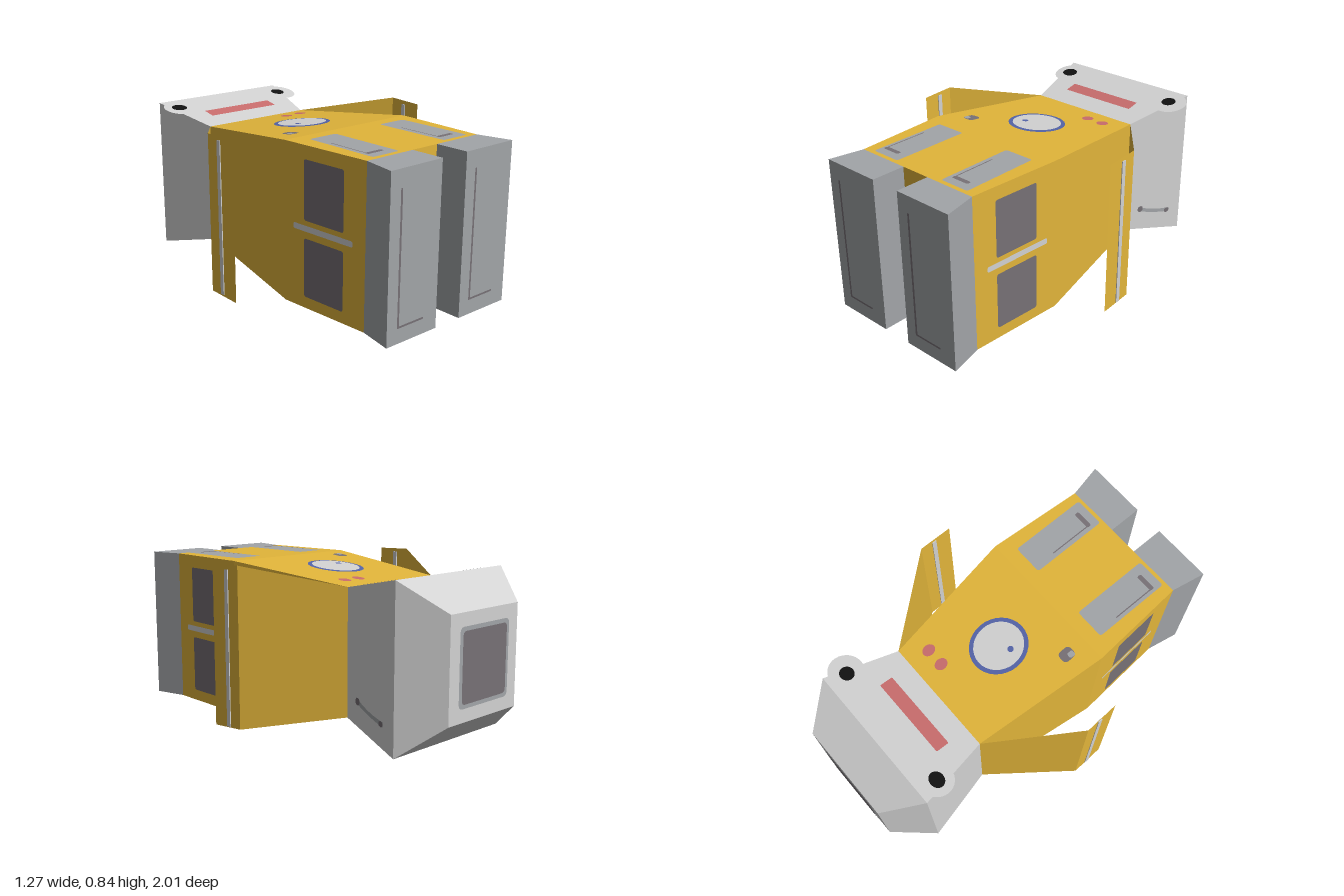
import * as THREE from 'three';

const mat = (name, color, extra = {}) => {
  const m = new THREE.MeshStandardMaterial({ color, ...extra });
  m.name = name;
  return m;
};

export function createModel() {
  const group = new THREE.Group();
  const yellow = mat('yellow', 0xe2b53a, { side: THREE.DoubleSide });
  const light = mat('light grey', 0xd2d2d2, { side: THREE.DoubleSide });
  const grey = mat('mid grey', 0xa2a5a8);
  const dark = mat('dark grey', 0x777176);
  const red = mat('soft red', 0xc86c6c);
  const blue = mat('blue', 0x5464a8);
  const black = mat('black', 0x111111);

  const add = (name, geometry, material) => {
    const mesh = new THREE.Mesh(geometry, material);
    mesh.name = name;
    group.add(mesh);
    return mesh;
  };

  // Tapered block between two sections, each [x0, x1, y0, y1, z]
  const block = (name, material, back, front) => {
    const g = new THREE.BoxGeometry(1, 1, 1);
    const p = g.attributes.position;
    for (let i = 0; i < p.count; i++) {
      const s = p.getZ(i) < 0 ? back : front;
      p.setXYZ(i, p.getX(i) < 0 ? s[0] : s[1], p.getY(i) < 0 ? s[2] : s[3], s[4]);
    }
    g.computeVertexNormals();
    add(name, g, material);
  };

  const crown = [-0.26, 0.26, 0.16, 0.67, -1];
  const brow = [-0.405, 0.4, 0, 0.817, -0.8];
  const neck = [-0.33, 0.3, 0.1, 0.74, -0.42];
  const waist = [-0.405, 0.4, 0, 0.817, 0.3];
  const hips = [-0.37, 0.365, 0, 0.817, 0.82];
  block('crown', light, crown, brow);
  block('head', light, brow, neck);
  block('torso', yellow, neck, waist);
  block('lowerBody', yellow, waist, hips);
  block('leftFoot', grey, [0.08, 0.365, 0, 0.817, 0.82], [0.08, 0.405, 0, 0.817, 1]);
  block('rightFoot', grey, [-0.37, -0.083, 0, 0.817, 0.82], [-0.405, -0.083, 0, 0.817, 1]);

  // Bent sheet arms with a stripe on each forearm
  const armStations = {
    leftArm: [[0.3, 0.1, 0.74, -0.42], [0.627, 0.02, 0.835, 0], [0.63, 0.01, 0.825, 0.185]],
    rightArm: [[-0.33, 0.1, 0.74, -0.42], [-0.635, 0.015, 0.83, 0], [-0.626, 0.005, 0.825, 0.185]],
  };
  for (const [name, st] of Object.entries(armStations)) {
    const g = new THREE.PlaneGeometry(2, 1, 2, 1);
    const p = g.attributes.position;
    for (let i = 0; i < p.count; i++) {
      const [x, y0, y1, z] = st[Math.round(p.getX(i)) + 1];
      p.setXYZ(i, x, p.getY(i) < 0 ? y0 : y1, z);
    }
    const flat = g.toNonIndexed();
    flat.computeVertexNormals();
    add(name, flat, yellow);
    const stripe = add(name + 'Stripe', new THREE.BoxGeometry(0.009, 0.79, 0.025), light);
    stripe.position.set((st[1][0] + st[2][0]) / 2, 0.415, 0.082);
  }

  // Flat shapes in face coordinates
  const rect = (x0, x1, y0, y1, r = 0.012) => {
    const s = new THREE.Shape();
    s.moveTo(x0 + r, y0).lineTo(x1 - r, y0).quadraticCurveTo(x1, y0, x1, y0 + r);
    s.lineTo(x1, y1 - r).quadraticCurveTo(x1, y1, x1 - r, y1);
    s.lineTo(x0 + r, y1).quadraticCurveTo(x0, y1, x0, y1 - r);
    s.lineTo(x0, y0 + r).quadraticCurveTo(x0, y0, x0 + r, y0);
    return s;
  };
  const oval = (x, y, rx, ry) => new THREE.Shape().absellipse(x, y, rx, ry, 0, Math.PI * 2);

  // Painted shape on a face given by origin and two in-plane directions
  const paint = (name, material, shape, [o, u, v], lift = 0.003) => {
    const U = new THREE.Vector3(...u), V = new THREE.Vector3(...v);
    const N = U.clone().cross(V).normalize();
    const m = new THREE.Matrix4().makeBasis(U, V, N);
    m.setPosition(new THREE.Vector3(...o).addScaledVector(N, lift));
    add(name, new THREE.ShapeGeometry(shape, 16).applyMatrix4(m), material);
  };

  // Faces: on upward faces the second coordinate is -z
  const slopeFace = (a, b) => {
    const k = (b[3] - a[3]) / (b[4] - a[4]);
    return [[0, a[3] - k * a[4], 0], [1, 0, 0], [0, -k, -1]];
  };
  const sideFace = (a, b, sign) => {
    const i = sign > 0 ? 1 : 0;
    const k = (b[i] - a[i]) / (b[4] - a[4]);
    return [[a[i] - k * a[4], 0, 0], [-sign * k, 0, -sign], [0, 1, 0]];
  };
  const face = slopeFace(brow, neck);
  const chest = slopeFace(neck, waist);
  const lap = slopeFace(waist, hips);
  const sole = [[0, 0, 1], [1, 0, 0], [0, 1, 0]];
  const headEnd = [[0, 0, -1], [-1, 0, 0], [0, 1, 0]];
  const under = [[0, 0, 0], [1, 0, 0], [0, 0, 1]];

  // Eyes and mouth
  paint('rightEyeDisc', light, oval(-0.345, 0.695, 0.085, 0.085), face, 0.002);
  paint('leftEyeDisc', light, oval(0.362, 0.69, 0.09, 0.09), face, 0.002);
  paint('rightPupil', black, oval(-0.345, 0.695, 0.043, 0.037), face, 0.005);
  paint('leftPupil', black, oval(0.35, 0.695, 0.038, 0.037), face, 0.005);
  paint('mouth', red, rect(-0.235, 0.203, 0.535, 0.607, 0.006), face);

  // Chest gauge and buttons
  paint('gaugeRim', blue, oval(-0.017, 0.032, 0.143, 0.152), chest);
  paint('gaugeDial', light, oval(-0.017, 0.032, 0.122, 0.13), chest, 0.005);
  paint('gaugeDot', blue, oval(-0.07, 0, 0.016, 0.016), chest, 0.007);
  for (const x of [0.103, 0.2]) paint('redButton', red, oval(x, 0.305, 0.029, 0.034), chest);
  paint('darkButton', dark, rect(-0.308, -0.245, -0.223, -0.15, 0.025), chest);
  paint('darkButtonCap', grey, rect(-0.305, -0.275, -0.22, -0.187, 0.01), chest, 0.005);

  // Leg panels and creases, and thin lines on the soles
  for (const [x, markX] of [[-0.315, -0.3], [0.15, 0.17]]) {
    paint('legPanel', grey, rect(x, x + 0.165, -0.8, -0.375, 0.015), lap);
    paint('legCrease', dark, rect(markX, markX + 0.1, -0.755, -0.73, 0.01), lap, 0.005);
    paint('legSeam', dark, rect(markX + 0.003, markX + 0.009, -0.74, -0.5, 0.002), lap, 0.005);
  }
  for (const x of [-0.343, 0.142]) {
    paint('soleLine', dark, rect(x, x + 0.012, 0.08, 0.73, 0.004), sole, 0.002);
    paint('soleLine', dark, rect(x, x + 0.17, 0.075, 0.085, 0.004), sole, 0.002);
  }

  // Side windows with a trim line between them
  for (const sign of [1, -1]) {
    const side = sideFace(waist, hips, sign);
    const span = (z0, z1, y0, y1, r) =>
      sign > 0 ? rect(-z1, -z0, y0, y1, r) : rect(z0, z1, y0, y1, r);
    paint('sideWindow', dark, span(0.432, 0.688, 0.45, 0.75, 0.015), side);
    paint('sideWindow', dark, span(0.432, 0.688, 0.06, 0.36, 0.015), side);
    paint('sideTrim', light, span(0.36, 0.745, 0.395, 0.425, 0.012), side);
  }

  // Curved mark on the left of the head
  const cheek = sideFace(brow, neck, 1);
  const mark = new THREE.Shape();
  mark.moveTo(0.5, 0.222).quadraticCurveTo(0.6, 0.165, 0.72, 0.153).lineTo(0.72, 0.128);
  mark.quadraticCurveTo(0.6, 0.15, 0.5, 0.195);
  paint('cheekMark', grey, mark, cheek);
  paint('cheekMarkEnd', dark, oval(0.515, 0.203, 0.018, 0.018), cheek, 0.005);
  paint('cheekMarkEnd', dark, oval(0.705, 0.141, 0.017, 0.014), cheek, 0.005);

  // Window on the end of the head
  paint('headWindowFrame', grey, rect(-0.19, 0.19, 0.225, 0.605, 0.03), headEnd, 0.002);
  paint('headWindow', dark, rect(-0.17, 0.17, 0.245, 0.585, 0.025), headEnd, 0.004);

  // Three bars across the lower back
  for (const z of [0.49, 0.6, 0.71])
    paint('backBar', light, rect(-0.31, 0.31, z - 0.017, z + 0.017, 0.014), under, 0.002);

  return group;
}
